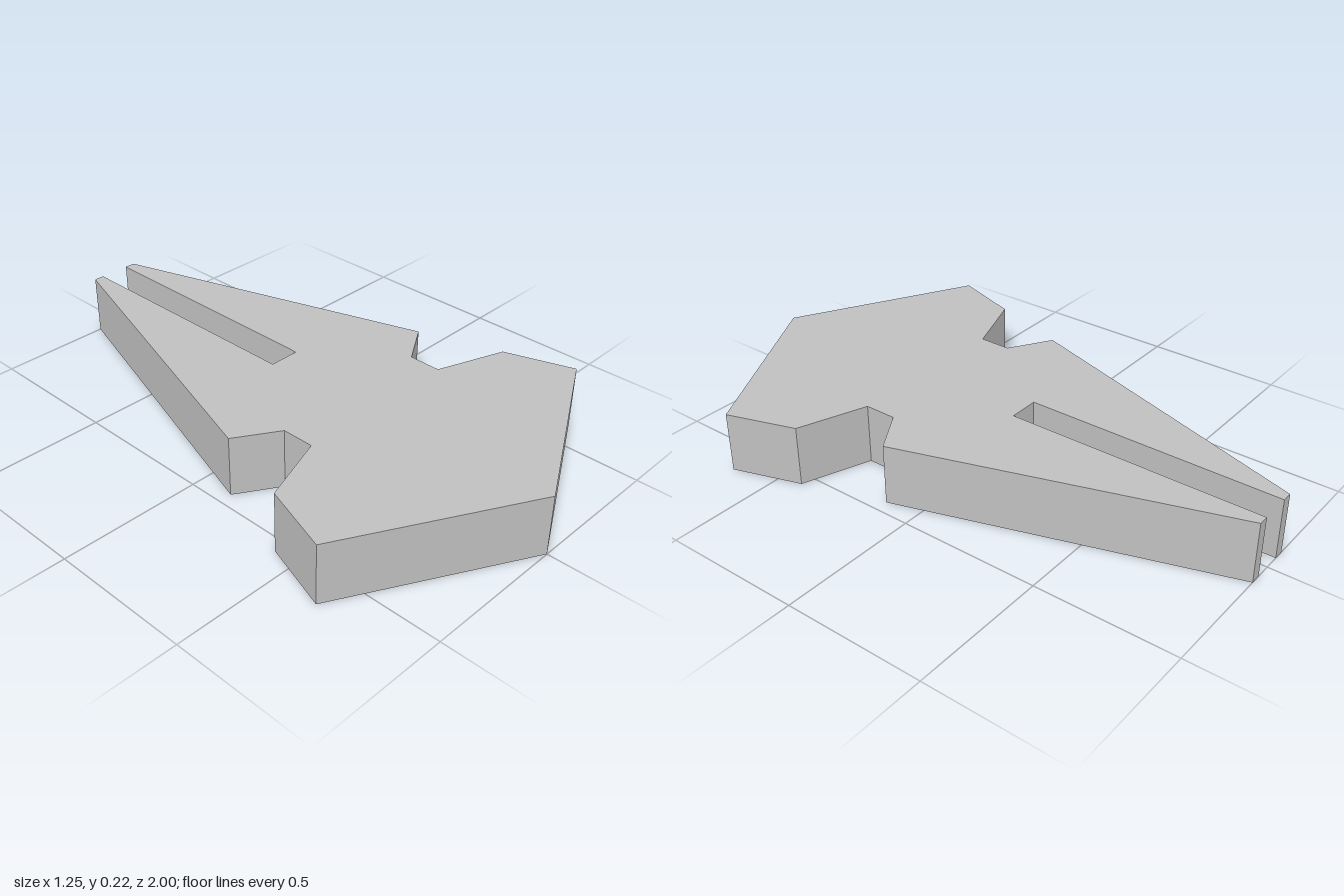
import * as THREE from 'three';

export function createModel() {
  const group = new THREE.Group();
  group.name = 'forkedArrowPlate';
  const grey = new THREE.MeshStandardMaterial({ color: 0xc0c0c0 });
  grey.name = 'light grey';

  // Left half of the outline as [x, z], from the front tip to the slot at the back
  const half = [
    [0, 1], [0.627, 0.66], [0.547, 0.417], [0.304, 0.331], [0.304, 0.217],
    [0.453, 0.125], [0.092, -1], [0.055, -1], [0.055, -0.086],
  ];
  // Mirror everything except the shared tip
  const mirrored = half.slice(1).reverse().map(([x, z]) => [-x, z]);
  const outline = [...half, ...mirrored].map(([x, z]) => new THREE.Vector2(x, -z));

  // Flat plate, extruded upward from the ground
  const geometry = new THREE.ExtrudeGeometry(new THREE.Shape(outline), {
    depth: 0.215, bevelEnabled: false,
  });
  geometry.rotateX(-Math.PI / 2);

  const plate = new THREE.Mesh(geometry, grey);
  plate.name = 'plate';
  group.add(plate);
  return group;
}
